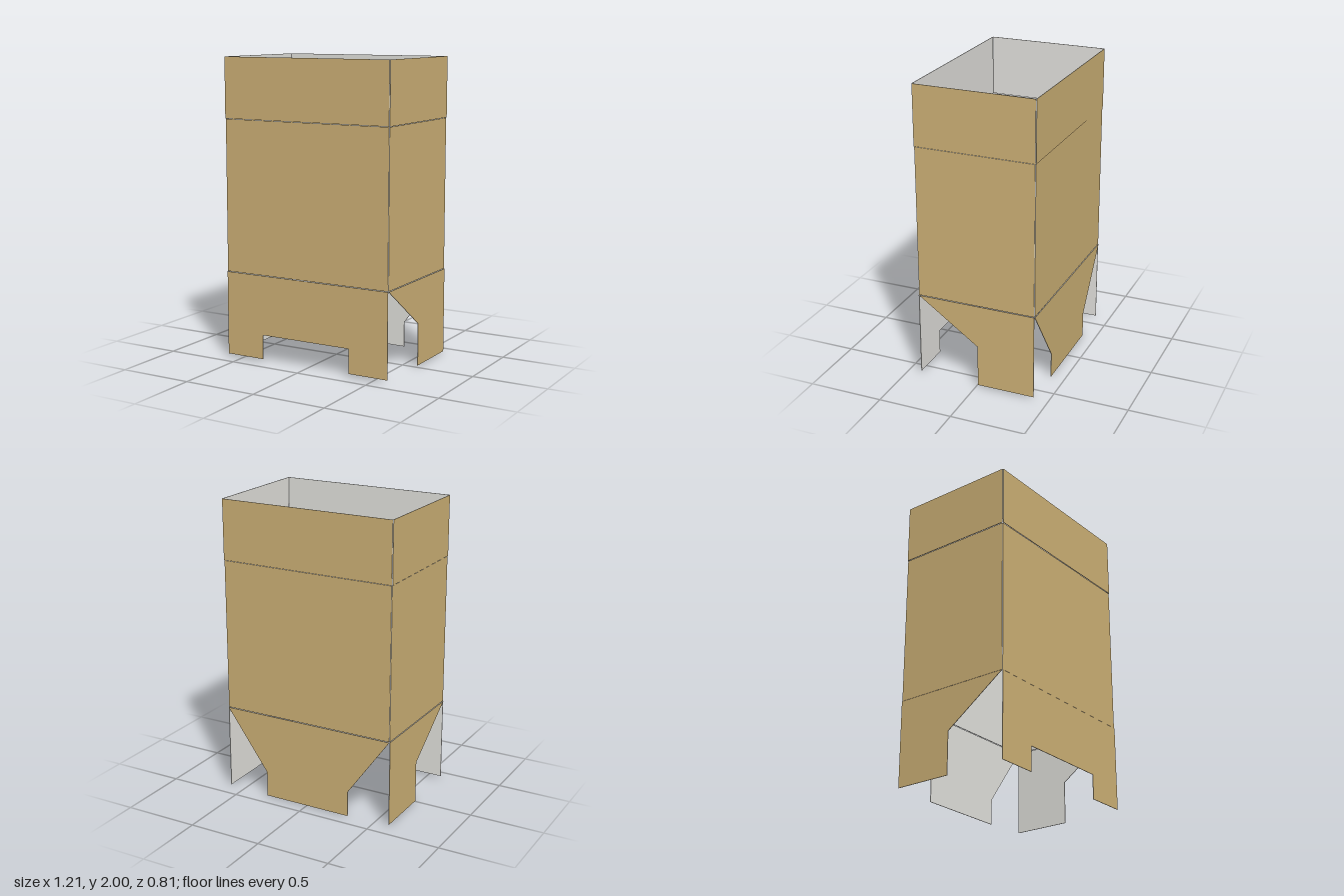
import * as THREE from 'three';

const T = 0.004; // sheet thickness
const CREASE_TOP = 1.6, CREASE_LOW = 0.582, GAP = 0.003;

export function createModel() {
  const box = new THREE.Group();
  box.name = 'foldedCarton';
  const kraft = new THREE.MeshStandardMaterial({ color: 0xd1b478 });
  kraft.name = 'kraftOutside';
  const white = new THREE.MeshStandardMaterial({ color: 0xf4f3ee });
  white.name = 'whiteInside';

  // Thin sheet whose outer face lies at z = dist; brown outside, white inside and on the cut edges
  function sheet(name, points, dist, wall) {
    const shape = new THREE.Shape(points.map(([u, y]) => new THREE.Vector2(u, y)));
    const geo = new THREE.ExtrudeGeometry(shape, { depth: T, bevelEnabled: false });
    const [caps, edges] = geo.groups.map((g) => ({ ...g }));
    geo.clearGroups();
    geo.addGroup(0, caps.count / 2, 1);
    geo.addGroup(caps.count / 2, caps.count / 2, 0);
    geo.addGroup(edges.start, edges.count, 1);
    const mesh = new THREE.Mesh(geo, [kraft, white]);
    mesh.name = name;
    mesh.position.z = dist - T;
    wall.add(mesh);
  }

  const rect = (w, y0, y1) => [[-w, y0], [w, y0], [w, y1], [-w, y1]];

  // One wall: main panel, top flap and shaped bottom flap, turned to face outwards
  function wall(name, angle, halfWidth, dist, bottom) {
    const g = new THREE.Group();
    g.name = name;
    g.rotation.y = angle;
    sheet('mainPanel', rect(halfWidth, CREASE_LOW + GAP, CREASE_TOP - GAP), dist - 0.003, g);
    sheet('topFlap', rect(halfWidth + 0.002, CREASE_TOP, 2), dist, g);
    sheet('bottomFlap', bottom, dist, g);
    box.add(g);
  }

  const W = 0.602, D = 0.4, L = CREASE_LOW;

  // Front flap with a rectangular notch
  wall('frontWall', 0, 0.6, 0.405, [
    [-W, 0.02], [-0.325, 0.02], [-0.325, 0.183], [0.325, 0.183],
    [0.325, 0.02], [W, 0.02], [W, L], [-W, L],
  ]);

  // Back flap tapering to a narrow tongue
  wall('backWall', Math.PI, 0.6, 0.405, [
    [-0.307, 0], [0.307, 0], [0.307, 0.172], [W, L], [-W, L], [-0.307, 0.172],
  ]);

  // Side flaps, cut away towards the front
  const side = [[0.01, 0.01], [D, 0.01], [D, L], [-D, L], [0.01, 0.292]];
  wall('rightViewWall', Math.PI / 2, 0.398, 0.606, side);
  wall('leftViewWall', -Math.PI / 2, 0.398, 0.606, side.map(([u, y]) => [-u, y]).reverse());

  return box;
}
